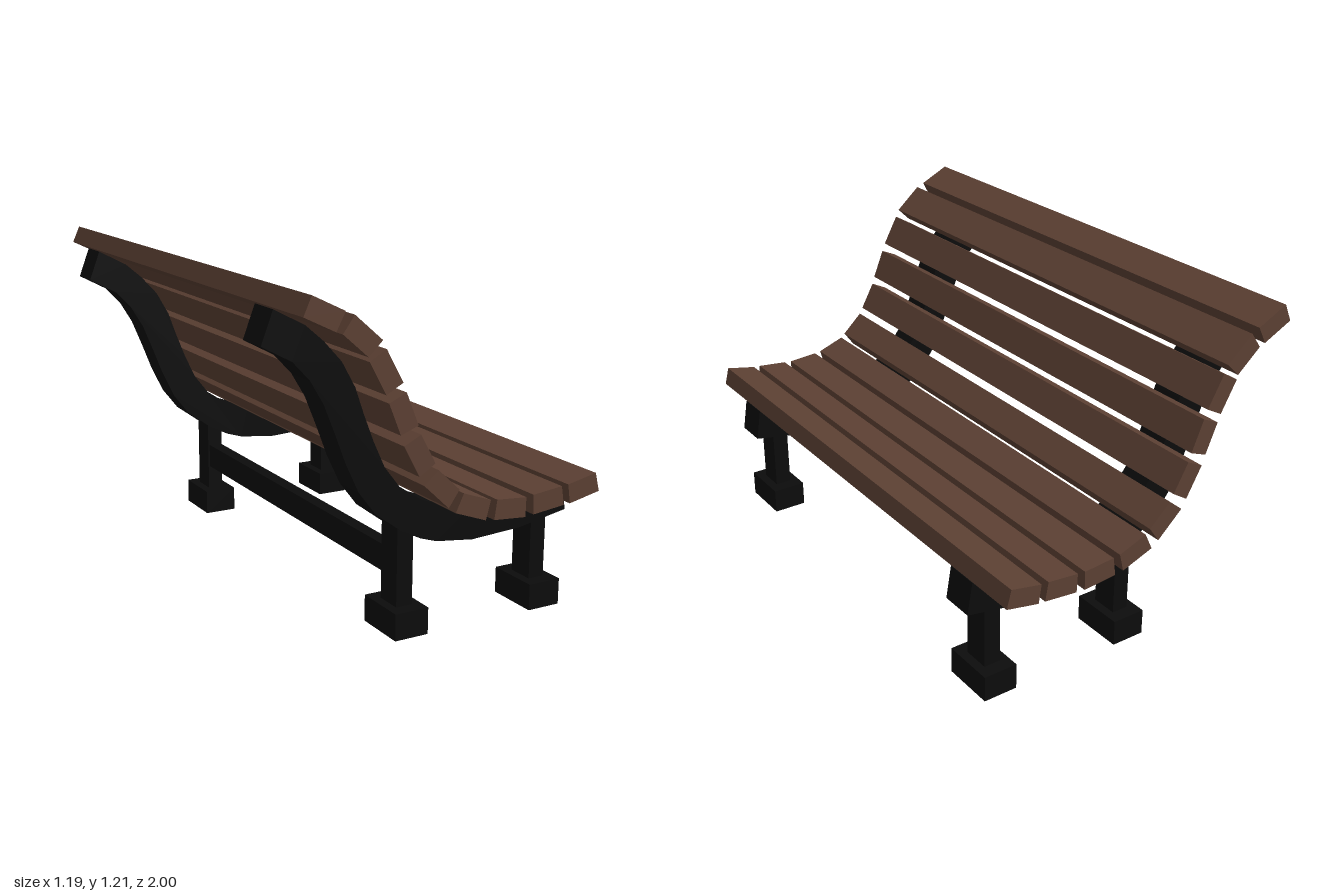
import * as THREE from 'three';

const wood = new THREE.MeshStandardMaterial({ color: 0x5c4033, flatShading: true });
const iron = new THREE.MeshStandardMaterial({ color: 0x0c0c0c, flatShading: true });

// Extrude an outline in the xy plane, centred on z = 0
function prism(points, depth, material, name) {
  const shape = new THREE.Shape(points.map(([x, y]) => new THREE.Vector2(x, y)));
  const geo = new THREE.ExtrudeGeometry(shape, { depth, bevelEnabled: false });
  geo.translate(0, 0, -depth / 2);
  const mesh = new THREE.Mesh(geo, material);
  mesh.name = name;
  return mesh;
}

function block(w, h, d, x, y, z, name) {
  const mesh = new THREE.Mesh(new THREE.BoxGeometry(w, h, d), iron);
  mesh.position.set(x, y, z);
  mesh.name = name;
  return mesh;
}

export function createModel() {
  const bench = new THREE.Group();
  bench.name = 'bench';

  // Slats: centre x, centre y, tilt in degrees, top width, bottom width
  const slats = [
    [-0.483, 1.149, -26, 0.125, 0.121],
    [-0.355, 1.071, -41, 0.129, 0.117],
    [-0.270, 0.955, -61, 0.125, 0.123],
    [-0.206, 0.818, -67.5, 0.118, 0.114],
    [-0.144, 0.680, -61, 0.114, 0.121],
    [-0.056, 0.560, -43, 0.110, 0.128],
    [0.066, 0.481, -20, 0.113, 0.126],
    [0.212, 0.452, -4.5, 0.117, 0.126],
    [0.364, 0.457, 6, 0.117, 0.126],
    [0.510, 0.477, 11.5, 0.118, 0.125],
  ];
  const t = 0.034;
  for (const [x, y, tilt, top, bottom] of slats) {
    const slat = prism([[-bottom / 2, -t], [bottom / 2, -t], [top / 2, t], [-top / 2, t]], 2, wood, 'slat');
    slat.position.set(x, y, 0);
    slat.rotation.z = THREE.MathUtils.degToRad(tilt);
    bench.add(slat);
  }

  // Curved side rails: lower edge front to back, upper edge back to front
  const lower = [
    [-0.594, 1.03], [-0.488, 0.973], [-0.427, 0.908], [-0.379, 0.828], [-0.337, 0.725],
    [-0.299, 0.626], [-0.25, 0.523], [-0.186, 0.44], [-0.09, 0.369], [-0.01, 0.328],
    [0.055, 0.307], [0.2, 0.289], [0.398, 0.299], [0.594, 0.334],
  ];
  const upper = [
    [0.575, 0.45], [0.456, 0.43], [0.327, 0.414], [0.2, 0.411], [0.087, 0.427],
    [-0.01, 0.462], [-0.096, 0.52], [-0.154, 0.594], [-0.196, 0.684], [-0.234, 0.78],
    [-0.266, 0.87], [-0.315, 0.957], [-0.379, 1.027], [-0.443, 1.082], [-0.552, 1.14],
  ];
  for (const side of [-1, 1]) {
    const z = side * 0.75;
    const rail = prism([...lower, ...upper], 0.122, iron, 'sideRail');
    rail.position.z = z;
    bench.add(rail);

    // Legs with square feet
    for (const x of [-0.062, 0.488]) {
      bench.add(block(0.062, 0.32, 0.098, x, 0.22, z, 'leg'));
      bench.add(block(0.128, 0.095, 0.197, x, 0.0475, z, 'foot'));
    }
  }

  // Stretcher joining the rear legs
  bench.add(block(0.05, 0.095, 1.42, -0.062, 0.238, 0, 'stretcher'));
  return bench;
}
